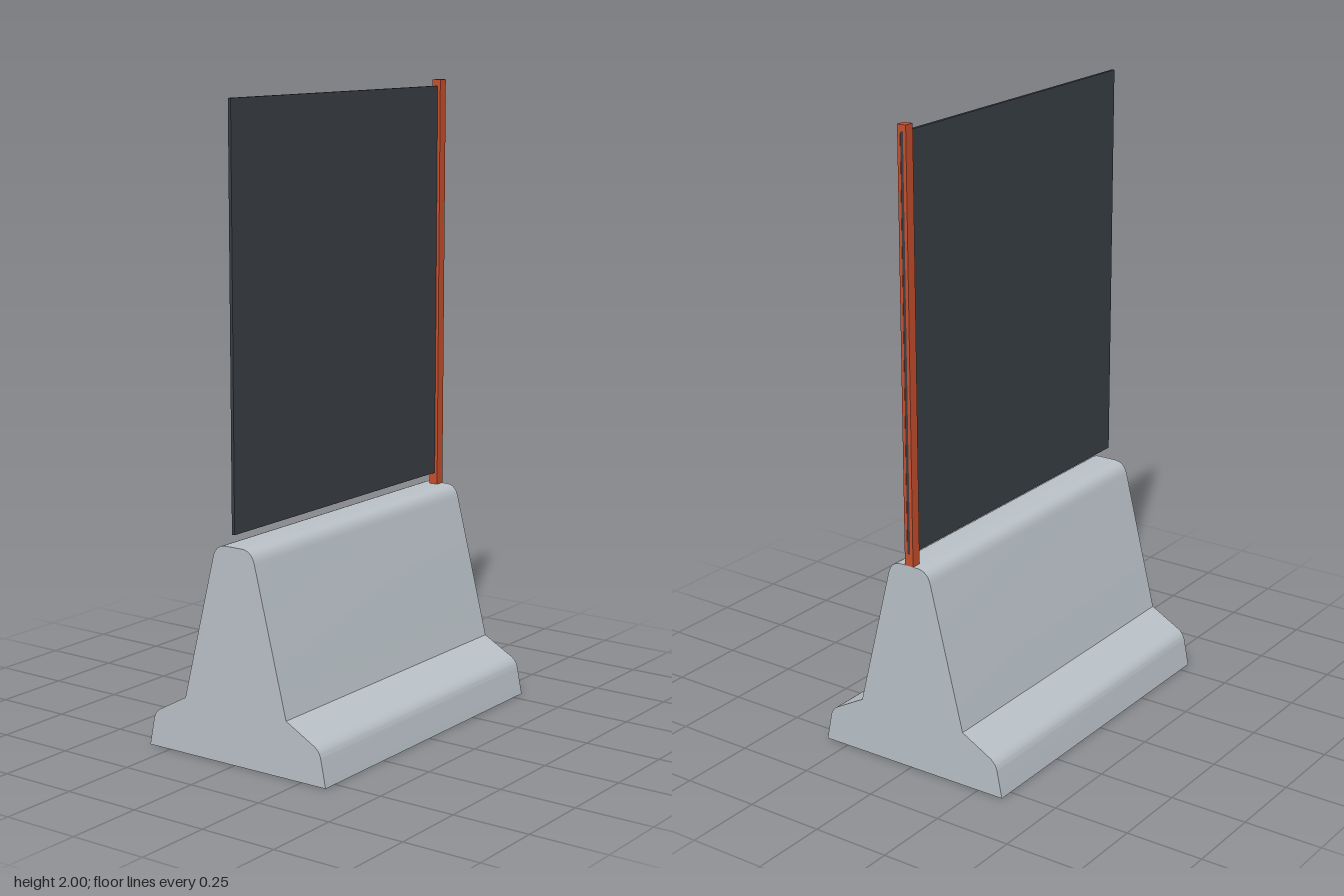
import * as THREE from 'three';
import { toCreasedNormals } from 'three/addons/utils/BufferGeometryUtils.js';

const material = (name, color) => {
  const m = new THREE.MeshStandardMaterial({ color });
  m.name = name;
  return m;
};

export function createModel() {
  const concrete = material('concrete grey', 0xb9c1c7);
  const slate = material('dark slate', 0x3a4047);
  const orange = material('rust orange', 0xc8502d);

  const model = new THREE.Group();
  model.name = 'barrierWithScreen';

  const add = (name, geometry, mat, x = 0, y = 0, z = 0) => {
    const mesh = new THREE.Mesh(geometry, mat);
    mesh.name = name;
    mesh.position.set(x, y, z);
    model.add(mesh);
    return mesh;
  };

  // Concrete barrier: stepped foot, sloping sides and rounded shoulders
  const profile = new THREE.Shape();
  profile.moveTo(-0.334, 0);
  profile.lineTo(0.334, 0);
  profile.lineTo(0.317, 0.085);
  profile.quadraticCurveTo(0.312, 0.112, 0.285, 0.125);
  profile.lineTo(0.191, 0.177);
  profile.lineTo(0.078, 0.63);
  profile.quadraticCurveTo(0.068, 0.672, 0.03, 0.672);
  profile.lineTo(-0.03, 0.672);
  profile.quadraticCurveTo(-0.068, 0.672, -0.078, 0.63);
  profile.lineTo(-0.191, 0.177);
  profile.lineTo(-0.285, 0.125);
  profile.quadraticCurveTo(-0.312, 0.112, -0.317, 0.085);
  profile.closePath();
  const body = new THREE.ExtrudeGeometry(profile, { depth: 1.096, bevelEnabled: false, curveSegments: 8 });
  body.translate(0, 0, -0.548);
  add('barrier', toCreasedNormals(body, 0.5), concrete);

  // Screen panel, running through the slot of the post at the back end
  add('screenPanel', new THREE.BoxGeometry(0.01, 1.27, 1.095), slate, 0, 1.345, 0.0005);

  // Slotted post: two flanges joined by a cap and a foot
  for (const side of [-1, 1]) {
    add(side > 0 ? 'leftPostFlange' : 'rightPostFlange',
      new THREE.BoxGeometry(0.01, 1.33, 0.032), orange, side * 0.01, 1.335, -0.532);
  }
  add('postCap', new THREE.BoxGeometry(0.03, 0.02, 0.032), orange, 0, 1.99, -0.532);
  add('postFoot', new THREE.BoxGeometry(0.03, 0.04, 0.032), orange, 0, 0.69, -0.532);

  // The whole piece stands very slightly turned
  model.rotation.y = 0.0065;
  return model;
}
